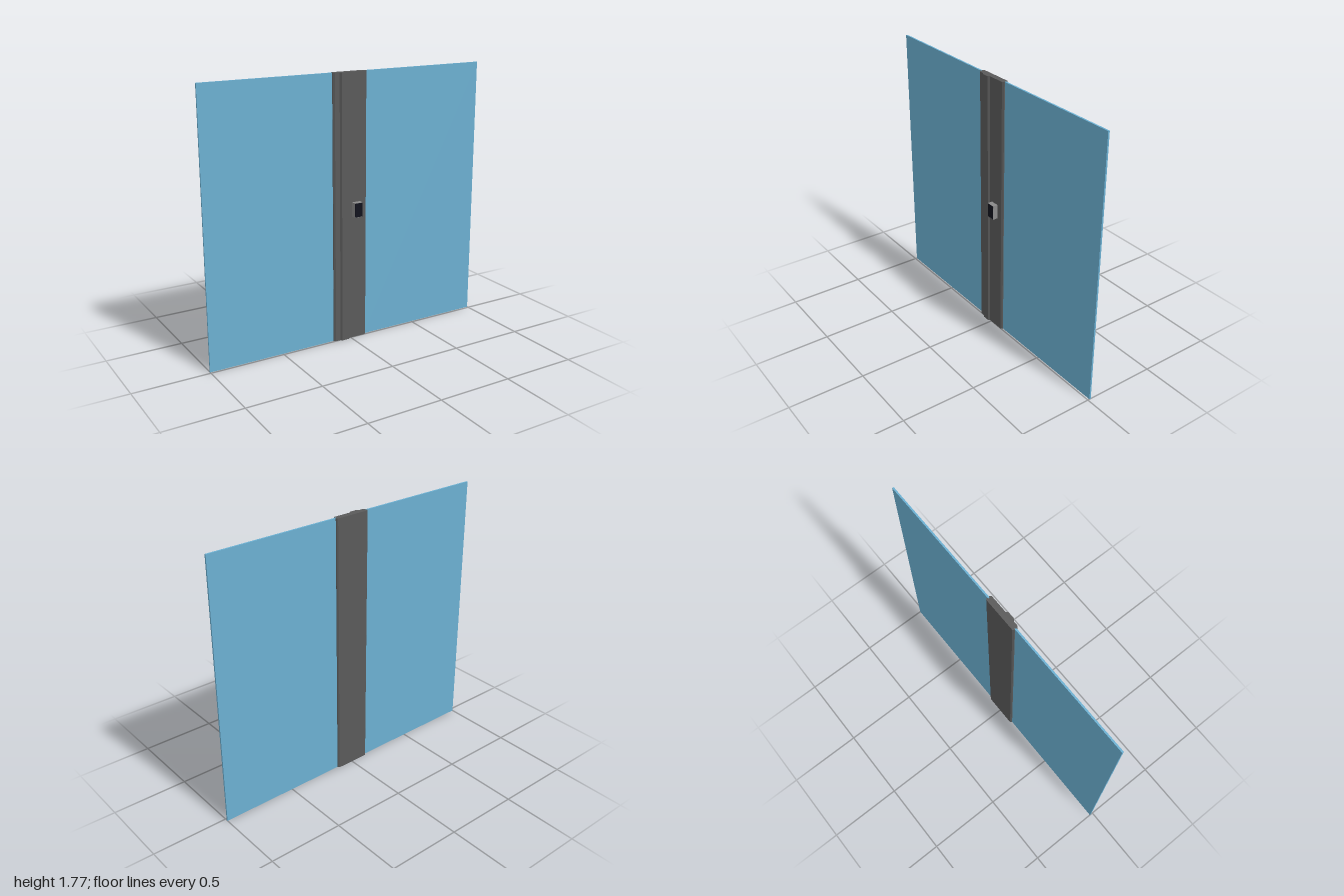
import * as THREE from 'three';

const H = 1.77;
const paint = (color) => new THREE.MeshStandardMaterial({ color });

// Extrudes a floor-plan outline of [x, z] points up the full height
function upright(name, plan, material) {
  const shape = new THREE.Shape(plan.map(([x, z]) => new THREE.Vector2(x, -z)));
  const geometry = new THREE.ExtrudeGeometry(shape, { depth: H, bevelEnabled: false });
  geometry.rotateX(-Math.PI / 2);
  const mesh = new THREE.Mesh(geometry, material);
  mesh.name = name;
  return mesh;
}

// Box given by its limits on each axis
function block(name, [x0, x1], [y0, y1], [z0, z1], material) {
  const mesh = new THREE.Mesh(new THREE.BoxGeometry(x1 - x0, y1 - y0, z1 - z0), material);
  mesh.position.set((x0 + x1) / 2, (y0 + y1) / 2, (z0 + z1) / 2);
  mesh.name = name;
  return mesh;
}

export function createModel() {
  const group = new THREE.Group();
  group.name = 'glassPartition';
  const glass = paint(0x6cb0d2);
  const frame = paint(0x5a5a5a);

  // Glass panes on both sides of the post
  group.add(block('rightPane', [-1, -0.12], [0, H], [-0.023, -0.012], glass));
  group.add(block('leftPane', [0.11, 1], [0, H], [-0.023, -0.012], glass));

  // Wide post with chamfered corners
  group.add(upright('post', [
    [-0.125, -0.028], [-0.125, -0.007], [-0.114, 0.002], [0.107, 0.002],
    [0.118, -0.007], [0.118, -0.028], [0.11, -0.036], [-0.117, -0.036],
  ], frame));

  // Raised cover strip with sloping edges
  group.add(upright('coverStrip', [
    [-0.081, 0.001], [-0.071, 0.013], [-0.021, 0.013], [-0.012, 0.001],
  ], frame));

  // Control box with a dark display
  const control = new THREE.Group();
  control.name = 'controlBox';
  control.add(block('housing', [0.01, 0.068], [0.842, 0.938], [0, 0.035], paint(0x8a8a8a)));
  control.add(block('display', [0.012, 0.066], [0.844, 0.936], [0.033, 0.036], paint(0x10121c)));
  group.add(control);

  return group;
}
